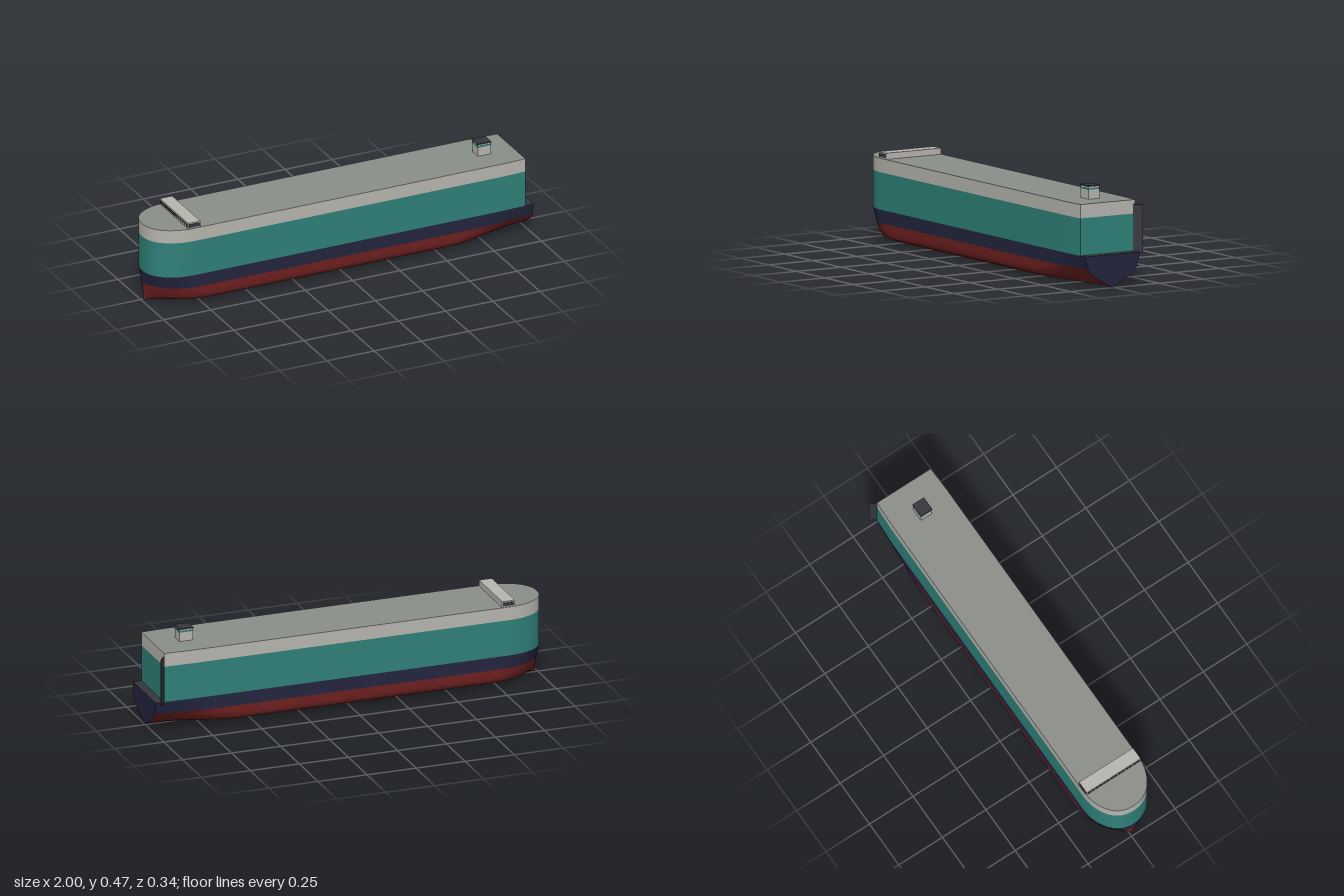
import * as THREE from 'three';

const mat = (name, color) => new THREE.MeshStandardMaterial({ name, color });

// Level table: height, half-width amidships, half-width at the transom
const LEVELS = [
  [0, 0, 0], [0.004, 0.05, 0.008], [0.01, 0.105, 0.02], [0.028, 0.152, 0.054], [0.05, 0.158, 0.092],
  [0.07, 0.159, 0.117], [0.095, 0.159, 0.138], [0.13, 0.159, 0.149], [0.16, 0.159, 0.153],
];
const TOP = 0.16, HOUSE_END = 0.957, CZ = 0.012;

// Half-width of the hull at station x on a given level: rounded bow, tapered stern
function halfWidth(x, [y, mid, stern]) {
  const h = Math.min(1, y / TOP);
  const t = Math.min(1, (x + 1) / THREE.MathUtils.lerp(0.34, 0.2, Math.sqrt(h)));
  const bow = Math.pow(1 - (1 - t) ** 2, THREE.MathUtils.lerp(1.25, 0.44, Math.sqrt(h)));
  const aft = THREE.MathUtils.smoothstep(x, THREE.MathUtils.lerp(0.5, 0.82, h), 1);
  return THREE.MathUtils.lerp(mid, stern, aft) * bow;
}

// Stations crowd together at the bow
function stations(end) {
  const list = [];
  for (let i = 0; i <= 20; i++) list.push(-1 + 0.36 * (i / 20) ** 2);
  list.push(-0.3, 0.1, 0.5);
  for (let i = 1; i <= 10; i++) list.push(0.5 + (end - 0.5) * i / 10);
  return list;
}

// One side of a level as points running from bow to stern
function sideLine(level, end, sign) {
  const rake = 0.01 * (1 - Math.min(1, level[0] / TOP));
  return stations(end).map(x => [
    x + rake * Math.max(0, -x), level[0], CZ + sign * halfWidth(x, level),
  ]);
}

// Full waterline from one stern corner around the bow to the other
const waterline = (level, end) =>
  [...sideLine(level, end, -1).reverse(), ...sideLine(level, end, 1).slice(1)];

// Smooth surface through rows of points
function grid(rows) {
  const n = rows[0].length, index = [];
  for (let r = 0; r < rows.length - 1; r++) {
    for (let k = 0; k < n - 1; k++) {
      const a = r * n + k, d = a + n;
      index.push(a, a + 1, d + 1, a, d + 1, d);
    }
  }
  const g = new THREE.BufferGeometry();
  g.setAttribute('position', new THREE.Float32BufferAttribute(rows.flat(2), 3));
  g.setIndex(index);
  g.computeVertexNormals();
  return g;
}

export function createModel() {
  const ship = new THREE.Group();
  ship.name = 'carCarrierShip';

  const red = mat('hullRed', 0x6e2020);
  const navy = mat('hullNavy', 0x24243e);
  const teal = mat('sideTeal', 0x2f8078);
  const white = mat('paleGrey', 0xb6b5af);
  const deckGrey = mat('deckGrey', 0x8a8e88);
  const dark = mat('charcoal', 0x35353d);

  const add = (name, geometry, material, parent = ship) => {
    const m = new THREE.Mesh(geometry, material);
    m.name = name;
    parent.add(m);
    return m;
  };
  const box = (name, x, y, z, material, [w, h, d], parent) => {
    const m = add(name, new THREE.BoxGeometry(w, h, d), material, parent);
    m.position.set(x, y, z);
    return m;
  };
  const upper = y => [y, 0.159, 0.153];
  const crossWall = (levels, x) => grid(levels.map(l => {
    const w = halfWidth(x, l);
    return [[x, l[0], CZ + w], [x, l[0], CZ - w]];
  }));
  const flatDeck = (level, end) => grid([sideLine(level, end, 1), sideLine(level, end, -1)]);

  // Lower hull
  add('bottomHull', grid(LEVELS.slice(0, 7).map(l => waterline(l, 1))), red);
  add('navyHullBand', grid(LEVELS.slice(6).map(l => waterline(l, 1))), navy);
  add('transom', crossWall(LEVELS, 1), navy);
  add('sternDeck', flatDeck(LEVELS[8], 1), dark);

  // Tall upper sides with their stern walls
  for (const [name, low, high, material] of [
    ['tealSide', TOP, 0.34, teal], ['paleTopSide', 0.34, 0.407, white],
  ]) {
    const levels = [upper(low), upper(high)];
    add(name, grid(levels.map(l => waterline(l, HOUSE_END))), material);
    add(name + 'SternWall', crossWall(levels, HOUSE_END), material);
  }
  add('topDeck', flatDeck(upper(0.407), HOUSE_END), deckGrey);

  // Bridge across the bow, with windows at the front and both ends
  const bridge = new THREE.Group();
  bridge.name = 'bridge';
  ship.add(bridge);
  box('bridgeHouse', -0.797, 0.421, CZ, white, [0.065, 0.032, 0.309], bridge);
  for (let i = 0; i < 14; i++) {
    box('frontWindow', -0.83, 0.422, CZ + (i - 6.5) * 0.0215, dark, [0.003, 0.014, 0.016], bridge);
  }
  for (const s of [-1, 1]) {
    box('endWindow', -0.797, 0.422, CZ + s * 0.155, dark, [0.056, 0.018, 0.003], bridge);
  }

  // Funnel
  const funnel = new THREE.Group();
  funnel.name = 'funnel';
  funnel.position.set(0.799, 0, CZ);
  ship.add(funnel);
  box('funnelBody', 0, 0.436, 0, white, [0.068, 0.062, 0.062], funnel);
  box('funnelBand', 0, 0.4565, 0, teal, [0.07, 0.008, 0.064], funnel);
  box('funnelCap', 0, 0.4695, 0, dark, [0.072, 0.006, 0.066], funnel);

  // Raised stern ramp set at an angle on the corner
  const ramp = box('sternRamp', 0.971, 0.2685, -0.15, dark, [0.006, 0.233, 0.049]);
  ramp.rotation.y = -Math.atan2(0.026, 0.04);

  return ship;
}
